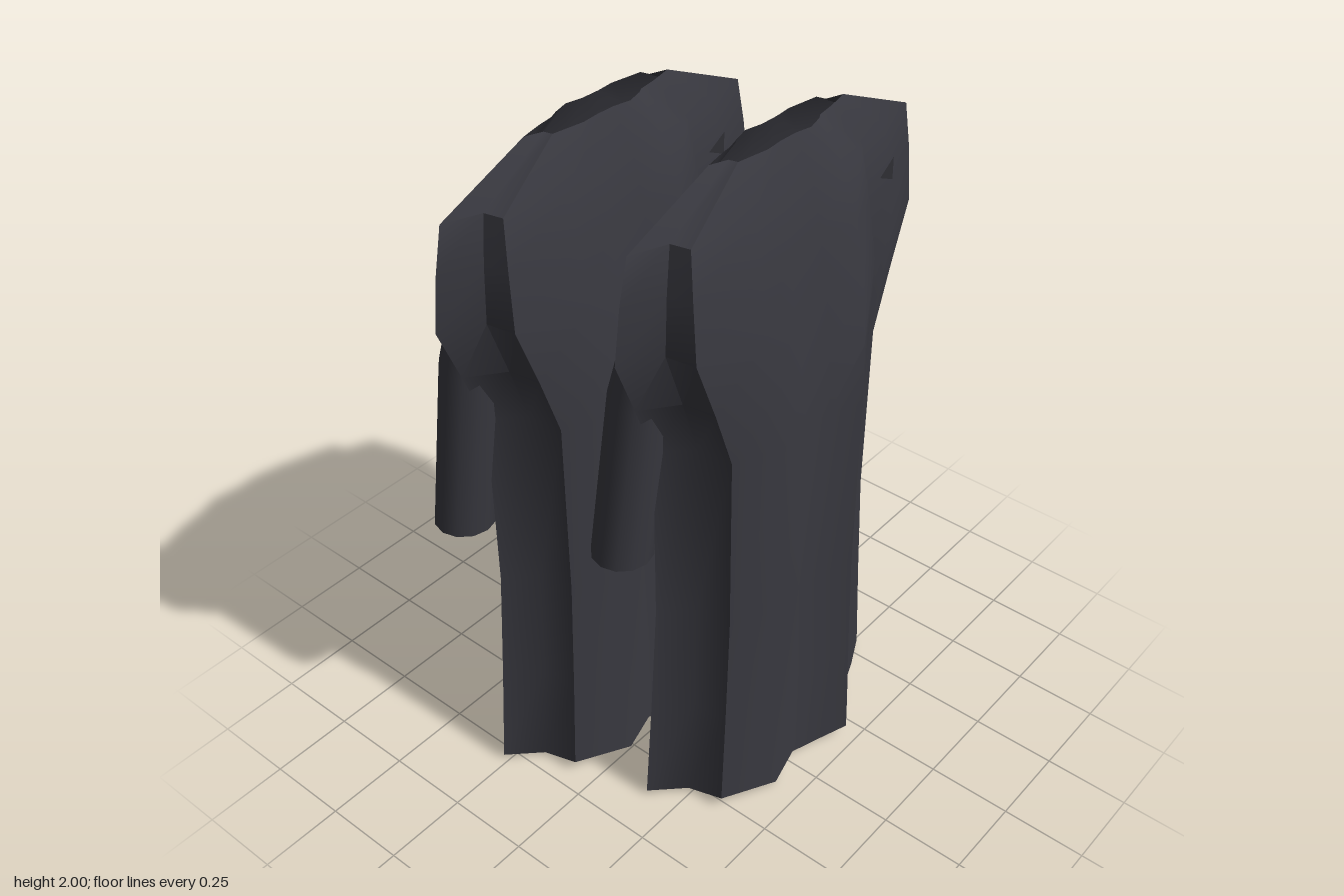
import * as THREE from 'three';
import { toCreasedNormals } from 'three/addons/utils/BufferGeometryUtils.js';

const cloth = new THREE.MeshStandardMaterial({ color: 0x38383f, side: THREE.DoubleSide });
cloth.name = 'charcoal cloth';
const trim = new THREE.MeshStandardMaterial({ color: 0x2b2b30, side: THREE.DoubleSide });
trim.name = 'dark trim';

// Skin a stack of closed rings, listed from bottom to top
function loft(rings, crease) {
  const n = rings[0].length, index = [];
  for (let j = 0; j < rings.length - 1; j++) {
    for (let i = 0; i < n; i++) {
      const a = j * n + i, b = j * n + (i + 1) % n;
      index.push(a, a + n, b, b, a + n, b + n);
    }
  }
  const geo = new THREE.BufferGeometry();
  geo.setAttribute('position', new THREE.Float32BufferAttribute(rings.flat(2), 3));
  geo.setIndex(index);
  return toCreasedNormals(geo, crease);
}

function add(group, geometry, material, name) {
  const mesh = new THREE.Mesh(geometry, material);
  mesh.name = name;
  group.add(mesh);
  return mesh;
}

// Half of the pleated hem outline (x, z); the other half is turned by 180 degrees
const HALF = [
  [0.455, 0.055], [0.33, 0.12], [0.225, 0.155], [0.195, 0.2], [0.105, 0.26],
  [0.015, 0.21], [-0.085, 0.2], [-0.185, 0.215], [-0.355, 0.145], [-0.365, 0.03],
];
const OUTLINE = [...HALF, ...HALF.map(([x, z]) => [-x, -z])];

// Height, width scale, depth scale
const LEVELS = [
  [0.03, 1, 1], [0.35, 0.945, 0.96], [0.7, 0.895, 0.92], [1.25, 0.9, 0.9], [1.42, 1.05, 0.83],
  [1.59, 1.21, 0.73], [1.75, 1.18, 0.6], [1.88, 1.135, 0.46], [2, 0.54, 0.21],
];

function bodyGeometry() {
  const rings = LEVELS.map(([y, sx, sz], j) => OUTLINE.map(([x, z], i) => {
    const wave = j === 0 ? [-0.015, 0.015, -0.03, 0.01, 0.015, -0.01, 0.02, -0.015, 0.01, -0.02][i % 10] : 0;
    return [x * sx, y + wave, z * sz];
  }));
  return loft(rings, 0.8);
}

// Sleeve: narrow at the shoulder, closed at the cuff
function sleeveGeometry(side) {
  const stations = [
    [0.425, 0.88, -0.15, 0.0001], [0.425, 0.88, -0.15, 0.086], [0.395, 1.4, -0.1, 0.085],
    [0.372, 1.8, -0.045, 0.045], [0.372, 1.8, -0.045, 0.0001],
  ];
  const rings = stations.map(([x, y, z, r]) => Array.from({ length: 12 }, (_, i) => {
    const a = i / 12 * Math.PI * 2;
    return [side * x + r * Math.cos(a), y, z + r * Math.sin(a)];
  }));
  return loft(rings, 0.8);
}

function createCoat() {
  const coat = new THREE.Group();
  coat.name = 'coat';
  const body = add(coat, bodyGeometry(), cloth, 'coatBody');
  body.updateMatrixWorld(true);

  // Point on the cloth seen from the buttoned side (dir 1) or the plain side (dir -1)
  const ray = new THREE.Raycaster();
  const onCloth = (x, y, dir, lift = 0.004) => {
    ray.set(new THREE.Vector3(x, y, -2 * dir), new THREE.Vector3(0, 0, dir));
    const hit = ray.intersectObject(body)[0];
    return new THREE.Vector3(x, y, (hit ? hit.point.z : -0.1 * dir) - lift * dir);
  };

  for (const side of [1, -1]) {
    add(coat, sleeveGeometry(side), cloth, side > 0 ? 'leftSleeve' : 'rightSleeve');

    // Lapel edge: from the top button up to a notch and back to the neck
    const corners = [[0.03, 1.28], [0.03 + side * 0.185, 1.74], [0.01 + side * 0.12, 1.88]];
    const path = new THREE.CurvePath();
    const points = [];
    for (let k = 0; k < 2; k++) {
      for (let s = 0; s < 6; s++) {
        const t = s / 6, [p, q] = [corners[k], corners[k + 1]];
        points.push(onCloth(p[0] + (q[0] - p[0]) * t, p[1] + (q[1] - p[1]) * t, 1));
      }
    }
    points.push(onCloth(...corners[2], 1));
    for (let k = 0; k < points.length - 1; k++) path.add(new THREE.LineCurve3(points[k], points[k + 1]));
    add(coat, new THREE.TubeGeometry(path, 36, 0.009, 5), trim, side > 0 ? 'leftLapel' : 'rightLapel');
  }

  // Buttons
  for (const y of [1.19, 0.96]) {
    const button = add(coat, new THREE.SphereGeometry(0.02, 12, 8), trim, 'button');
    button.position.copy(onCloth(0.035, y, 1));
    button.scale.z = 0.6;
  }

  // Small pointed flap near the shoulder on the plain side
  const flap = [[0.32, 1.765], [0.39, 1.73], [0.405, 1.785]].map(([x, y]) => onCloth(x, y, -1, 0.008));
  const flapGeo = new THREE.BufferGeometry().setFromPoints(flap);
  flapGeo.computeVertexNormals();
  add(coat, flapGeo, trim, 'shoulderFlap');
  return coat;
}

export function createModel() {
  const model = new THREE.Group();
  model.name = 'coats';
  // Two coats hanging one behind the other
  for (const s of [1, -1]) {
    const coat = createCoat();
    coat.position.set(0.085 * s, 0, 0.21 * s);
    model.add(coat);
  }
  return model;
}
